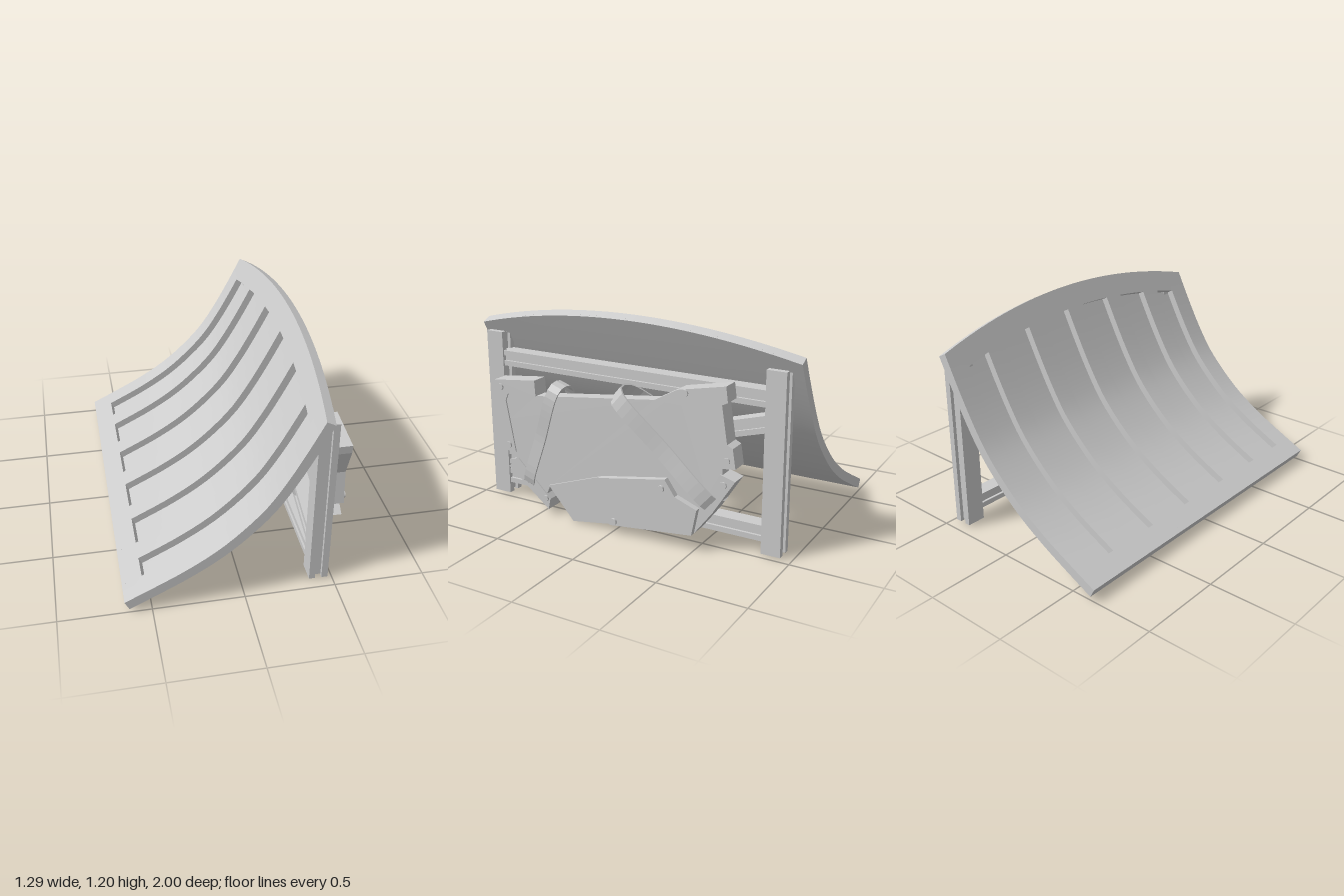
import * as THREE from 'three';

export function createModel() {
  const model = new THREE.Group();
  const mat = new THREE.MeshStandardMaterial({ color: 0xcccccc });
  const flat = new THREE.MeshStandardMaterial({ color: 0xcccccc, flatShading: true });
  const twoSided = new THREE.MeshStandardMaterial({ color: 0xcccccc, side: THREE.DoubleSide });

  function add(name, geo, material = flat, parent = model) {
    const mesh = new THREE.Mesh(geo, material);
    mesh.name = name;
    parent.add(mesh);
    return mesh;
  }
  function box(name, x0, x1, y0, y1, z0, z1, parent = model) {
    const mesh = add(name, new THREE.BoxGeometry(x1 - x0, y1 - y0, z1 - z0), flat, parent);
    mesh.position.set((x0 + x1) / 2, (y0 + y1) / 2, (z0 + z1) / 2);
    return mesh;
  }

  // Curved shield: slabs bent along one profile, with an arched top edge
  const profile = new THREE.CatmullRomCurve3([
    [-0.62, 0.02], [-0.45, 0.105], [-0.29, 0.19], [-0.12, 0.3], [0.02, 0.42],
    [0.15, 0.56], [0.25, 0.71], [0.34, 0.87], [0.43, 1.045], [0.495, 1.175],
  ].map(([x, y]) => new THREE.Vector3(x, y, 0)));
  const length = profile.getLength();
  const thick = 0.055, floor = 0.013;
  const topEdge = z => length - 0.145 * z * z;
  const slotTop = z => topEdge(z) - 0.135;
  const slotLow = () => 0.12;
  const shield = new THREE.Group();
  shield.name = 'shield';
  model.add(shield);

  function slab(name, z0, z1, from, to, n0, n1) {
    const segZ = Math.max(2, Math.ceil((z1 - z0) * 16));
    const geo = new THREE.BoxGeometry(1, 1, 1, 24, 1, segZ);
    const p = geo.attributes.position;
    for (let i = 0; i < p.count; i++) {
      const z = z0 + (p.getZ(i) + 0.5) * (z1 - z0);
      const s = THREE.MathUtils.lerp(from(z), to(z), p.getX(i) + 0.5) / length;
      const c = profile.getPointAt(Math.min(1, s)), t = profile.getTangentAt(Math.min(1, s));
      const n = n0 + (p.getY(i) + 0.5) * (n1 - n0);
      p.setXYZ(i, c.x - t.y * n, c.y + t.x * n, z);
    }
    geo.computeVertexNormals();
    add(name, geo, mat, shield);
  }
  const bottom = () => 0;
  slab('shieldBase', -1, 1, bottom, topEdge, 0, floor);
  // Raised ribs leave six long slots between them
  const slots = [[-0.88, -0.73], [-0.61, -0.4], [-0.28, -0.07], [0.06, 0.27], [0.39, 0.6], [0.73, 0.87]];
  let edge = -1;
  for (const [a, b] of [...slots, [1, 1]]) {
    slab('shieldRib', edge, a, bottom, topEdge, floor, thick);
    if (b > a) {
      slab('slotLowerEnd', a, b, bottom, slotLow, floor, thick);
      slab('slotUpperEnd', a, b, slotTop, topEdge, floor, thick);
    }
    edge = b;
  }

  // Grooved posts
  for (const side of [-1, 1]) {
    const post = new THREE.Group();
    post.name = side > 0 ? 'leftPost' : 'rightPost';
    post.position.z = side * 0.885;
    model.add(post);
    box('postBack', 0.37, 0.403, 0.01, 1.01, -0.055, 0.055, post);
    box('postWeb', 0.4, 0.443, 0.018, 1, -0.035, 0.035, post);
    box('postFront', 0.44, 0.475, 0.01, 1.01, -0.055, 0.055, post);
  }

  // Grooved rails: two level and one diagonal
  function rail(name, y, len, angle = 0) {
    const g = new THREE.Group();
    g.name = name;
    g.position.set(0.42, y, 0);
    g.rotation.x = angle;
    model.add(g);
    box('railLower', -0.045, 0.045, -0.045, -0.015, -len / 2, len / 2, g);
    box('railWeb', -0.03, 0.03, -0.016, 0.016, -len / 2, len / 2, g);
    box('railUpper', -0.045, 0.045, 0.015, 0.045, -len / 2, len / 2, g);
  }
  rail('topRail', 0.855, 1.7);
  rail('bottomRail', 0.12, 1.7);
  rail('diagonalRail', 0.48, 1.75, Math.atan(0.29));

  // Flat plates cut in the side plane; outline points are (-z, y)
  function plate(name, x0, x1, pts) {
    const shape = new THREE.Shape(pts.map(([u, v]) => new THREE.Vector2(u, v)));
    const geo = new THREE.ExtrudeGeometry(shape, { depth: x1 - x0, bevelEnabled: false });
    geo.rotateY(Math.PI / 2);
    geo.translate(x0, 0, 0);
    add(name, geo);
  }
  plate('panelBody', 0.52, 0.597, [
    [-0.73, 0.7], [-0.51, 0.705], [0.26, 0.8], [0.4, 0.86], [0.63, 0.84], [0.66, 0.5], [0.66, 0.44],
    [0.6, 0.25], [0.5, 0.11], [0, 0.06], [-0.25, 0.08], [-0.43, 0.185], [-0.46, 0.12],
    [-0.66, 0.29], [-0.69, 0.35], [-0.7, 0.54]]);
  plate('upperLeftBumper', 0.505, 0.605, [
    [-0.51, 0.796], [-0.505, 0.705], [-0.7, 0.695], [-0.72, 0.65], [-0.665, 0.346],
    [-0.74, 0.346], [-0.72, 0.544], [-0.79, 0.716], [-0.794, 0.764]]);
  plate('upperRightBumper', 0.505, 0.605, [
    [0.26, 0.8], [0.4, 0.877], [0.675, 0.934], [0.686, 0.85], [0.654, 0.834], [0.686, 0.63],
    [0.718, 0.614], [0.735, 0.507], [0.654, 0.497], [0.62, 0.83], [0.41, 0.8]]);
  plate('lowerLeftBumper', 0.505, 0.605, [
    [-0.72, 0.25], [-0.65, 0.31], [-0.43, 0.1], [-0.445, 0.035]]);
  plate('lowerRightBumper', 0.505, 0.605, [
    [0.65, 0.464], [0.735, 0.44], [0.61, 0.244], [0.53, 0.25]]);
  plate('lowerRightBlock', 0.505, 0.6, [
    [0.53, 0.25], [0.61, 0.244], [0.5, 0.1], [0.36, 0.12]]);
  plate('skirtPlate', 0.588, 0.608, [
    [-0.434, 0.185], [-0.075, 0.31], [0.02, 0.045], [-0.27, 0]]);
  plate('coverPlate', 0.597, 0.632, [
    [-0.08, 0.31], [0.34, 0.384], [0.4, 0.298], [0.53, 0.25], [0.5, 0.1],
    [-0.01, 0.045], [0, 0.13], [-0.075, 0.24]]);

  // Bolts: z, y, outer x
  for (const [z, y, x] of [
    [0.75, 0.727, 0.615], [0.71, 0.383, 0.615], [0.46, 0.1, 0.615], [-0.445, 0.866, 0.615],
    [-0.686, 0.544, 0.615], [-0.67, 0.41, 0.615], [-0.32, 0.33, 0.645], [-0.02, 0.073, 0.645]]) {
    const bolt = add('bolt', new THREE.CylinderGeometry(0.019, 0.019, 0.03, 16), mat);
    bolt.rotation.z = Math.PI / 2;
    bolt.position.set(x - 0.015, y, z);
  }

  // Straps: closed ribbons looping round the panel and the diagonal rail
  function strap(name, top, low, width) {
    const a = new THREE.Vector3(0, top[1], top[0]), b = new THREE.Vector3(0, low[1], low[0]);
    const across = b.clone().sub(a).normalize().cross(new THREE.Vector3(1, 0, 0)).multiplyScalar(width / 2);
    const loop = new THREE.CatmullRomCurve3([
      [0.613, 0.05], [0.616, 0.5], [0.613, 0.95], [0.57, 1.005], [0.49, 0.99], [0.39, 0.83],
      [0.345, 0.55], [0.375, 0.25], [0.48, 0.02], [0.57, -0.005],
    ].map(([x, t]) => a.clone().lerp(b, t).setX(x)), true, 'centripetal');
    const section = [[-1, 0], [1, 0], [1, 1], [-1, 1]];
    const n = 40, pos = [], idx = [];
    const axis = across.clone().normalize();
    for (let i = 0; i < n; i++) {
      const c = loop.getPointAt(i / n);
      const out = loop.getTangentAt(i / n).cross(axis).multiplyScalar(0.01);
      for (let k = 0; k < 4; k++) {
        const [w, h] = section[k];
        pos.push(...c.clone().addScaledVector(across, w).addScaledVector(out, h).toArray());
        const p = i * 4 + k, q = i * 4 + (k + 1) % 4;
        const p2 = ((i + 1) % n) * 4 + k, q2 = ((i + 1) % n) * 4 + (k + 1) % 4;
        idx.push(p, q, q2, p, q2, p2);
      }
    }
    const geo = new THREE.BufferGeometry();
    geo.setAttribute('position', new THREE.Float32BufferAttribute(pos, 3));
    geo.setIndex(idx);
    const split = geo.toNonIndexed();
    split.computeVertexNormals();
    add(name, split, twoSided);
  }
  strap('leftStrap', [0.37, 0.78], [0.585, 0.15], 0.07);
  strap('rightStrap', [-0.01, 0.8], [-0.62, 0.27], 0.1);

  return model;
}
